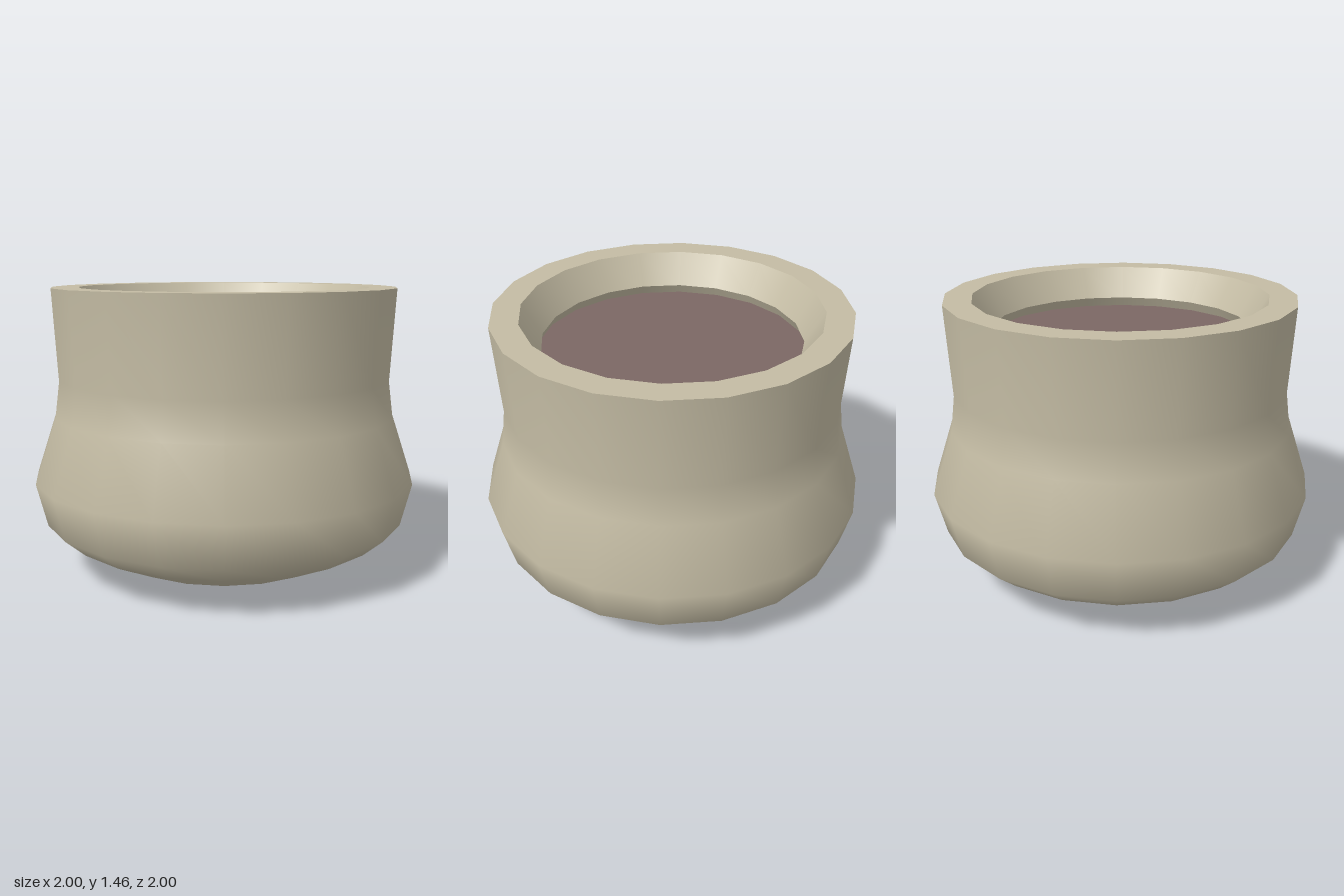
import * as THREE from 'three';

const SIDES = 20;

// Turns a [radius, height] profile around y; run it upwards for outward faces
function turned(name, profile, material) {
  const points = profile.map(([r, y]) => new THREE.Vector2(r, y));
  const mesh = new THREE.Mesh(new THREE.LatheGeometry(points, SIDES), material);
  mesh.name = name;
  return mesh;
}

export function createModel() {
  const model = new THREE.Group();
  model.name = 'pot';
  const clay = new THREE.MeshStandardMaterial({ color: 0xc4bca4 });
  const earth = new THREE.MeshStandardMaterial({ color: 0x7c6764 });

  // Rounded belly, narrow waist and flared neck, with the underside
  model.add(turned('outerWall', [
    [0, 0], [0.31, 0], [0.59, 0.05], [0.84, 0.17], [0.945, 0.26],
    [1, 0.48], [0.89, 0.81], [0.865, 1], [0.89, 1.46],
  ], clay));

  // Flat rim
  model.add(turned('rim', [[0.89, 1.46], [0.75, 1.46]], clay));

  // Sloping mouth, then the hollow widening beneath it
  model.add(turned('mouth', [[0.75, 1.46], [0.655, 1.3]], clay));
  model.add(turned('innerWall', [[0.655, 1.3], [0.68, 1.25]], clay));

  // Filling
  model.add(turned('soil', [[0.68, 1.25], [0, 1.25]], earth));

  return model;
}
